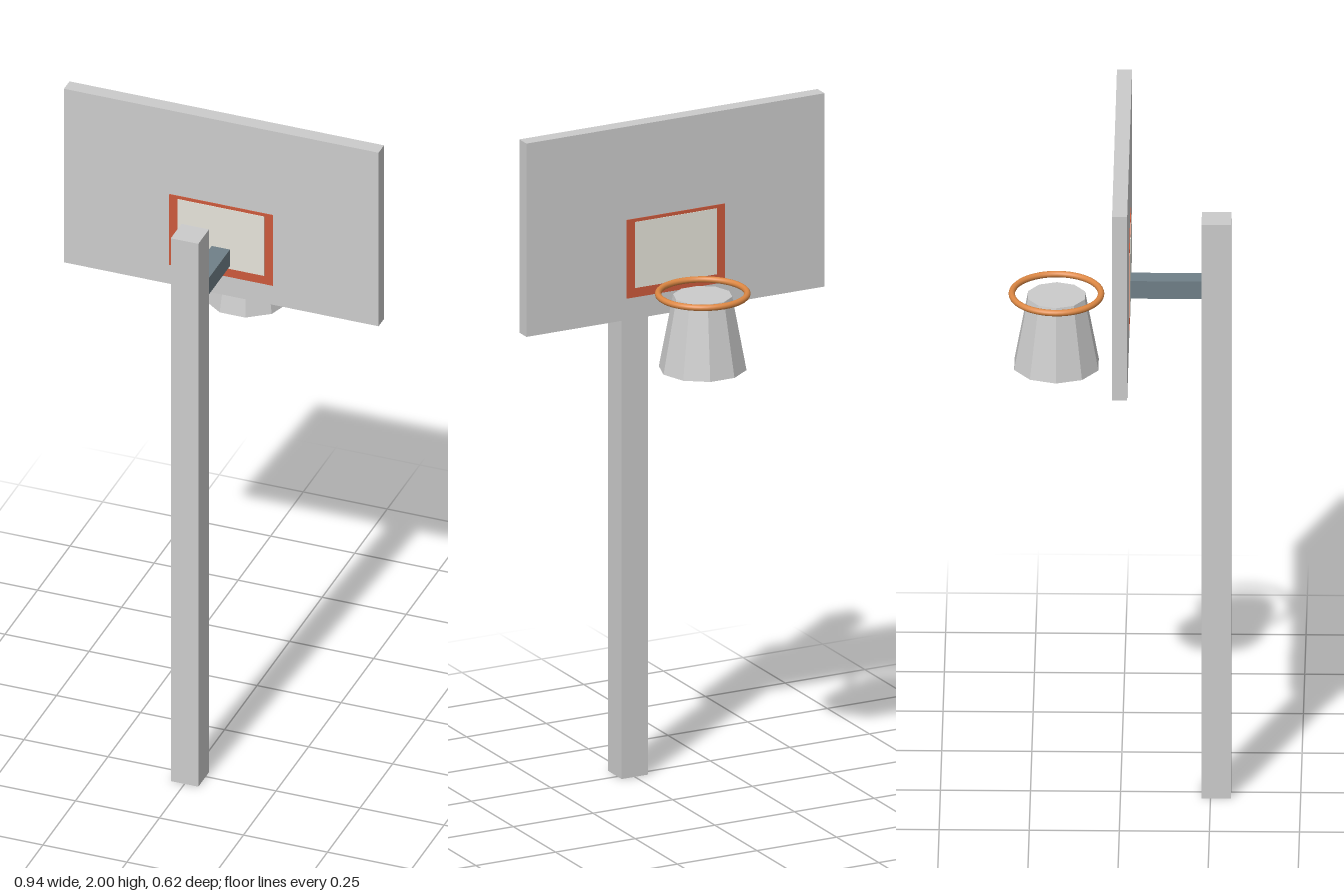
import * as THREE from 'three';

const mat = (color) => new THREE.MeshStandardMaterial({ color, flatShading: true });

export function createModel() {
  const group = new THREE.Group();
  group.name = 'basketballHoop';
  const grey = mat(0xcccccc);
  const add = (name, geometry, material, x, y, z) => {
    const mesh = new THREE.Mesh(geometry, material);
    mesh.name = name;
    mesh.position.set(x, y, z);
    group.add(mesh);
    return mesh;
  };
  const box = (name, w, h, d, material, x, y, z) =>
    add(name, new THREE.BoxGeometry(w, h, d), material, x, y, z);

  // Square post and the arm that carries the board
  box('post', 0.082, 1.77, 0.082, grey, 0, 0.885, 0.266);
  box('supportArm', 0.054, 0.054, 0.21, mat(0x708088), 0, 1.561, 0.125);

  // Backboard
  box('backboard', 0.936, 0.566, 0.042, grey, 0, 1.717, 0.004);

  // Target border and its light centre, both just proud of the board on each face
  box('targetBorder', 0.308, 0.23, 0.046, mat(0xcc5a3c), 0, 1.612, 0.004);
  box('targetCentre', 0.258, 0.193, 0.049, mat(0xe6e4da), 0, 1.621, 0.004);

  // Rim
  const rimMaterial = new THREE.MeshStandardMaterial({ color: 0xdd8844 });
  const rim = add('rim', new THREE.TorusGeometry(0.124, 0.009, 12, 48), rimMaterial, 0, 1.535, -0.178);
  rim.rotation.x = Math.PI / 2;

  // Faceted solid net, wider at the bottom
  const net = add('net', new THREE.CylinderGeometry(0.083, 0.123, 0.213, 10), grey, 0, 1.4235, -0.178);
  net.rotation.y = Math.PI / 2;

  return group;
}
